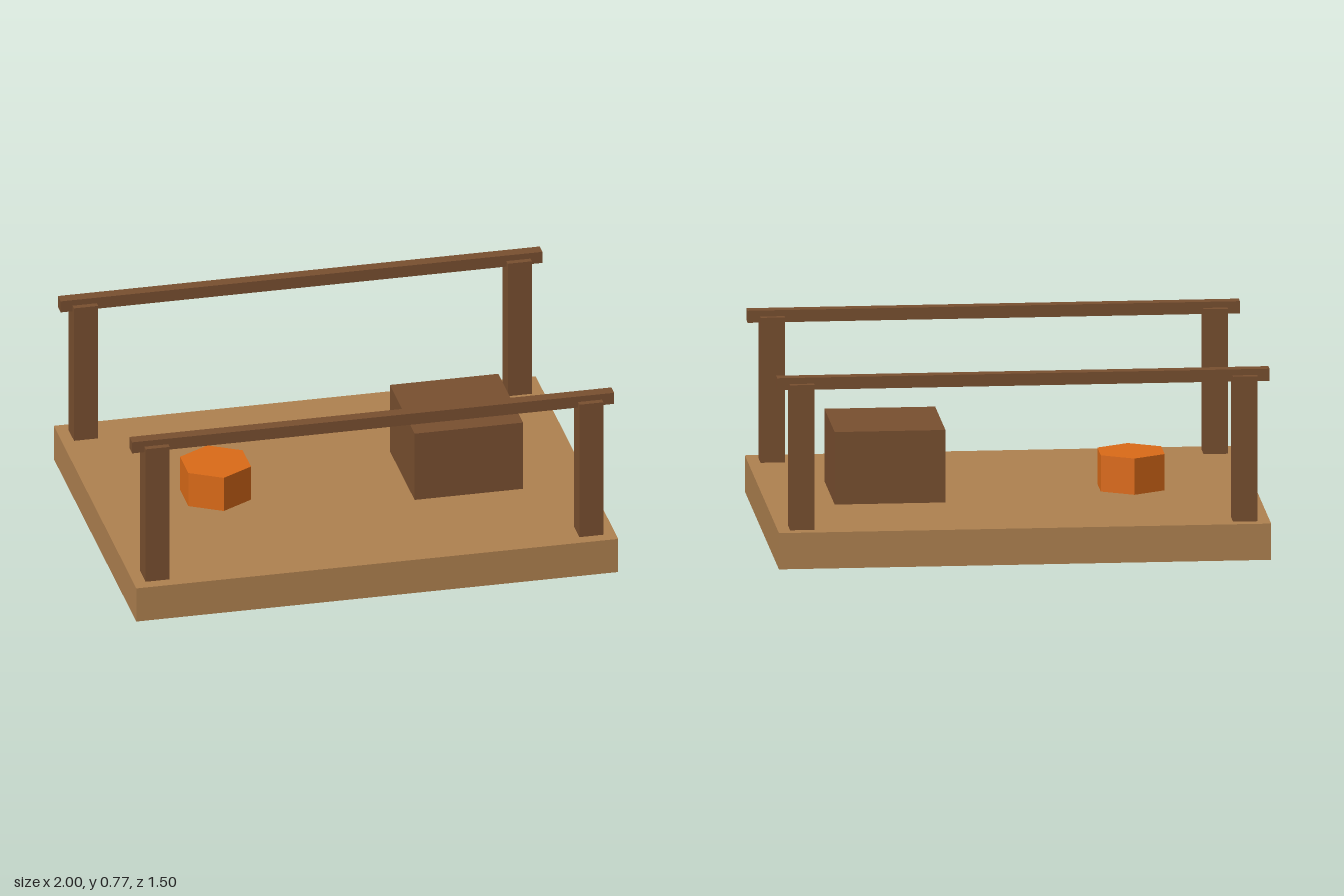
import * as THREE from 'three';

const material = (color) => new THREE.MeshStandardMaterial({ color, flatShading: true });

export function createModel() {
  const model = new THREE.Group();
  model.name = 'raft';

  const plank = material(0xb08250);
  const timber = material(0x7a5030);
  const ember = material(0xdc6b18);

  const add = (name, geometry, mat, x, y, z) => {
    const mesh = new THREE.Mesh(geometry, mat);
    mesh.name = name;
    mesh.position.set(x, y, z);
    model.add(mesh);
  };

  // Flat deck
  const deckTop = 0.15;
  add('deck', new THREE.BoxGeometry(2, deckTop, 1.5), plank, 0, deckTop / 2, 0);

  // Posts and rail along the front and back edges
  const postGeometry = new THREE.BoxGeometry(0.1, 0.6, 0.1);
  const railGeometry = new THREE.BoxGeometry(2, 0.05, 0.05);
  for (const [end, z] of [['front', 0.65], ['back', -0.65]]) {
    for (const [side, x] of [['Left', 0.9], ['Right', -0.9]]) {
      add(`${end}${side}Post`, postGeometry, timber, x, deckTop + 0.3, z);
    }
    add(`${end}Rail`, railGeometry, timber, 0, 0.75, z);
  }

  // Crate on the left
  add('crate', new THREE.BoxGeometry(0.45, 0.3, 0.45), timber, 0.5, deckTop + 0.15, 0);

  // Six-sided brazier on the right, with corners toward front and back
  add('brazier', new THREE.CylinderGeometry(0.15, 0.15, 0.15, 6), ember, -0.5, deckTop + 0.075, 0);

  return model;
}
